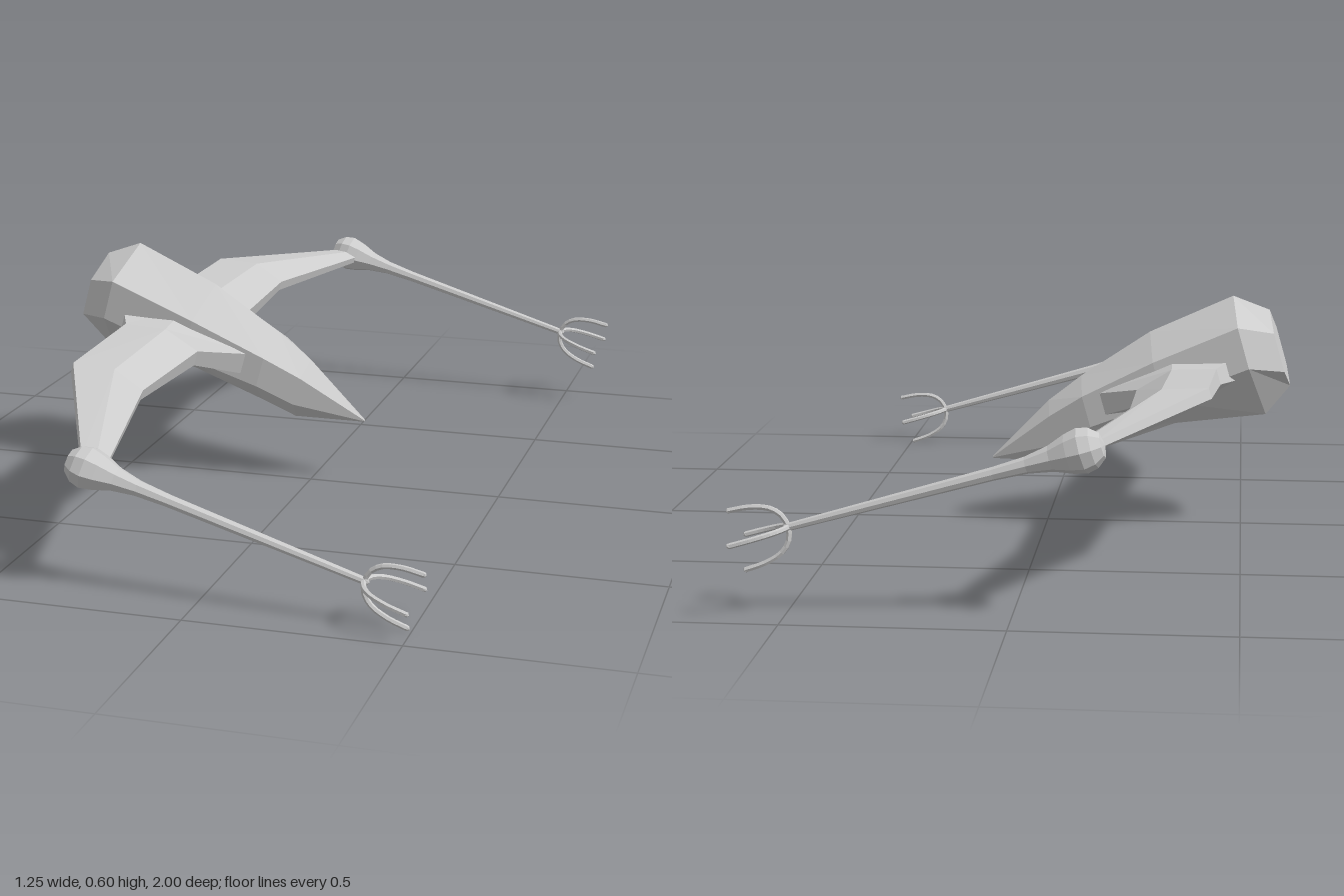
import * as THREE from 'three';

const material = new THREE.MeshStandardMaterial({ color: 0xcccccc, flatShading: true });

function part(name, geometry) {
  const mesh = new THREE.Mesh(geometry, material);
  mesh.name = name;
  return mesh;
}

// Skin over equal-sized rings of [x, y, z], counter-clockwise seen from the far end, capped at both ends.
function loft(rings) {
  const n = rings[0].length, index = [];
  rings.slice(1).forEach((_, k) => {
    for (let i = 0; i < n; i++) {
      const a = k * n + i, b = k * n + (i + 1) % n;
      index.push(a, b, b + n, a, b + n, a + n);
    }
  });
  const last = (rings.length - 1) * n;
  for (let i = 1; i < n - 1; i++) {
    index.push(0, i + 1, i, last, last + i, last + i + 1);
  }
  const geometry = new THREE.BufferGeometry();
  geometry.setAttribute('position', new THREE.Float32BufferAttribute(rings.flat(2), 3));
  geometry.setIndex(index);
  geometry.computeVertexNormals();
  return geometry;
}

// Faceted hull: station x, top, shoulder, lower side, keel, half width
function hull() {
  const stations = [
    [-0.407, 0.113, 0.059, -0.04, -0.086, 0.085],
    [-0.328, 0.171, 0.10, -0.005, -0.141, 0.14],
    [-0.10, 0.138, 0.07, -0.03, -0.105, 0.125],
    [0.10, 0.075, 0.03, -0.05, -0.12, 0.092],
    [0.20, 0.035, 0.0, -0.075, -0.13, 0.06],
    [0.381, -0.068, -0.07, -0.072, -0.074, 0.002],
  ];
  return part('hull', loft(stations.map(([x, top, sh, lo, keel, w]) => [
    [x, top, 0], [x, sh, w], [x, lo, w], [x, keel, 0], [x, lo, -w], [x, sh, -w],
  ])));
}

// Cranked wing: station z, front x, ridge x, back x, half thickness at the ridge and at the edges
function wing() {
  const stations = [
    [0.08, 0.08, -0.147, -0.31, 0.065, 0.03],
    [0.175, -0.05, -0.147, -0.254, 0.046, 0.02],
    [0.485, -0.064, -0.147, -0.254, 0.038, 0.013],
    [0.90, 0.032, 0.005, -0.03, 0.015, 0.008],
  ];
  return part('wing', loft(stations.map(([z, f, r, b, h, e]) => [
    [f, -e, z], [f, e, z], [r, h, z], [b, e, z], [b, -e, z], [r, -h, z],
  ])));
}

// Wing-tip barrel with a bulb at the back and four curved prongs at the front
function barrel() {
  const group = new THREE.Group();
  group.name = 'barrel';
  const profile = [
    [0, -0.052], [0.028, -0.046], [0.045, -0.025], [0.051, 0], [0.044, 0.03],
    [0.029, 0.07], [0.019, 0.125], [0.015, 0.2], [0.009, 0.68], [0, 0.685],
  ].map(([r, x]) => new THREE.Vector2(r, x));
  group.add(part('bulbAndTube', new THREE.LatheGeometry(profile, 8).rotateZ(-Math.PI / 2)));

  const curve = new THREE.CatmullRomCurve3([
    [0.672, 0], [0.68, 0.028], [0.702, 0.05], [0.745, 0.064], [0.793, 0.068],
  ].map(([x, y]) => new THREE.Vector3(x, y, 0)));
  for (let i = 0; i < 4; i++) {
    const prong = part('prong', new THREE.TubeGeometry(curve, 10, 0.0065, 6));
    const tip = part('prongTip', new THREE.SphereGeometry(0.0065, 6, 4));
    tip.position.copy(curve.getPoint(1));
    prong.add(tip);
    prong.rotation.x = i * Math.PI / 2;
    group.add(prong);
  }
  group.position.z = 0.924;
  return group;
}

export function createModel() {
  const craft = new THREE.Group();
  craft.name = 'craft';
  craft.add(hull());

  // Mirrored wing assemblies
  for (const side of [1, -1]) {
    const assembly = new THREE.Group();
    assembly.name = side > 0 ? 'nearWingAssembly' : 'farWingAssembly';
    assembly.add(wing(), barrel());
    assembly.scale.z = side;
    craft.add(assembly);
  }

  // Nose-down, slightly banked attitude
  const forward = new THREE.Vector3(0.96, -0.28, 0.035).normalize();
  const up = new THREE.Vector3(-0.047, -0.053, 0.997).cross(forward).normalize();
  const across = forward.clone().cross(up);
  craft.quaternion.setFromRotationMatrix(new THREE.Matrix4().makeBasis(forward, up, across));
  craft.position.set(-0.205, 0.34, -0.027);

  const model = new THREE.Group();
  model.add(craft);
  return model;
}
